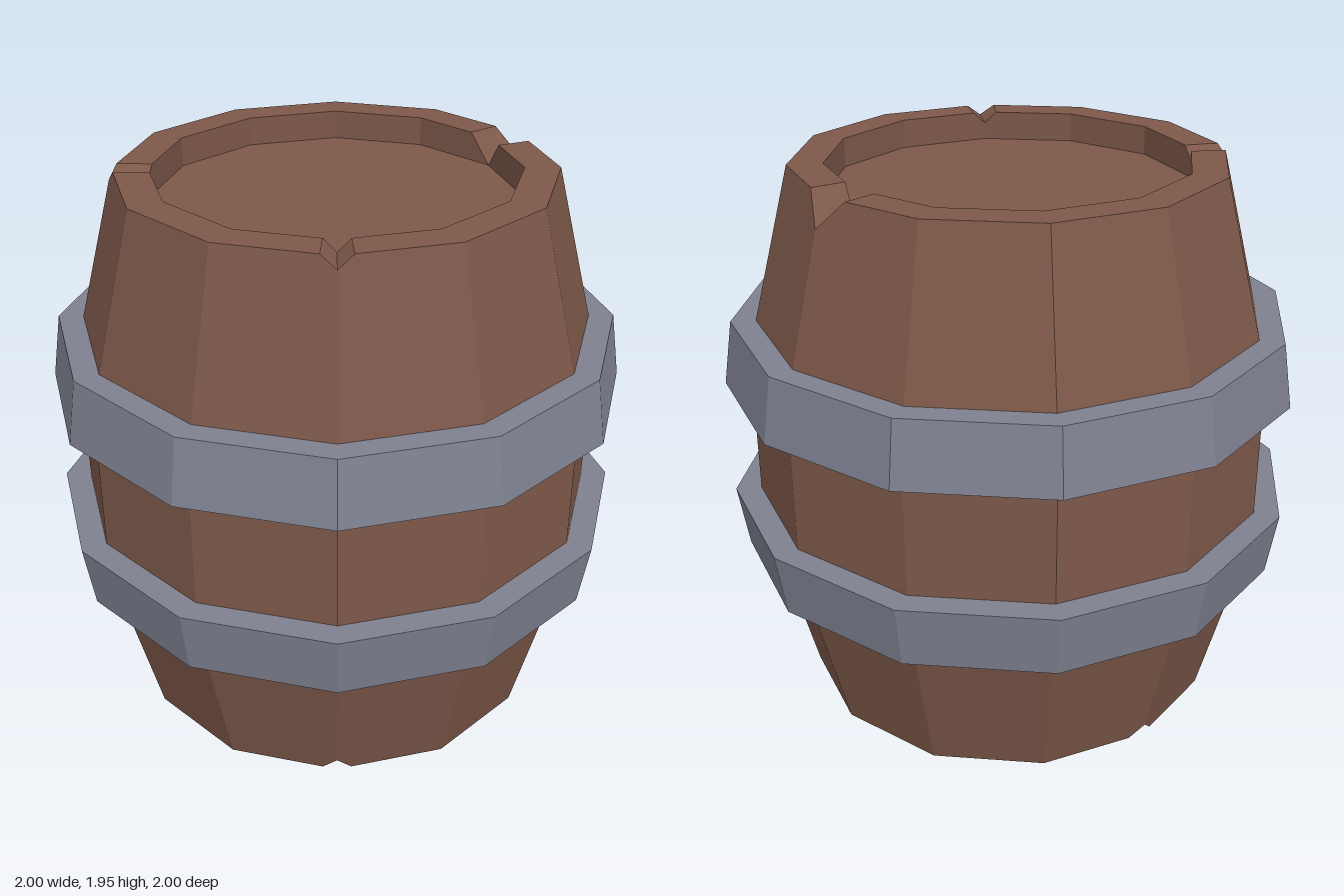
import * as THREE from 'three';

const SIDES = 12;
const HEIGHT = 1.945;
const RECESS = 0.1;

// Chips in the rims, keyed by the index of the stave corner (30 degrees each)
const topChips = { 0: 0.1, 4: 0.04, 7: 0.04 };
const bottomChips = { 4: 0.055, 9: 0.05 };
const chipWidth = { 0: 0.135, 4: 0.07, 7: 0.065, 9: 0.07 };

// Unit outline of the barrel: twelve corners, plus a point on each side of every chip
function outline() {
  const corner = (i) => {
    const a = (i / SIDES) * Math.PI * 2;
    return new THREE.Vector2(Math.cos(a), Math.sin(a));
  };
  const side = Math.hypot(corner(1).x - 1, corner(1).y);
  const points = [];
  for (let i = 0; i < SIDES; i++) {
    const p = corner(i);
    const t = (chipWidth[i] ?? 0) / side;
    if (t) points.push({ p: p.clone().lerp(corner(i - 1), t), top: 0, bottom: 0 });
    points.push({ p, top: topChips[i] ?? 0, bottom: bottomChips[i] ?? 0 });
    if (t) points.push({ p: p.clone().lerp(corner(i + 1), t), top: 0, bottom: 0 });
  }
  return points;
}

// Skin the outline along a profile of [radius, y, chipped rim, outward slope of the chip]
function woodGeometry() {
  const profile = [
    [0, RECESS], [0.62, RECESS], [0.62, 0, 'bottom', 0], [0.745, 0, 'bottom', 0.25],
    [0.91, 0.65], [0.91, 1.29],
    [0.74, HEIGHT, 'top', 0.25], [0.62, HEIGHT, 'top', 0], [0.62, HEIGHT - RECESS], [0, HEIGHT - RECESS],
  ];
  const points = outline();
  const loops = profile.map(([r, y, rim, slope]) => points.map((o) => {
    const cut = rim ? o[rim] : 0;
    const radius = r + cut * (slope ?? 0);
    return new THREE.Vector3(o.p.x * radius, rim === 'top' ? y - cut : y + cut, o.p.y * radius);
  }));
  const positions = [];
  const addTriangle = (a, b, c) => {
    if (new THREE.Triangle(a, b, c).getArea() < 1e-7) return;
    for (const v of [a, b, c]) positions.push(v.x, v.y, v.z);
  };
  for (let j = 0; j < loops.length - 1; j++) {
    for (let i = 0; i < points.length; i++) {
      const k = (i + 1) % points.length;
      addTriangle(loops[j][i], loops[j + 1][i], loops[j + 1][k]);
      addTriangle(loops[j][i], loops[j + 1][k], loops[j][k]);
    }
  }
  const geometry = new THREE.BufferGeometry();
  geometry.setAttribute('position', new THREE.Float32BufferAttribute(positions, 3));
  geometry.computeVertexNormals();
  return geometry;
}

// Tapered metal band, its inner edge sunk into the wood
function hoopGeometry(bottomRadius, topRadius, y0, y1) {
  const profile = [[0.85, y0], [bottomRadius, y0], [topRadius, y1], [0.85, y1]];
  return new THREE.LatheGeometry(profile.map(([r, y]) => new THREE.Vector2(r, y)), SIDES);
}

export function createModel() {
  const wood = new THREE.MeshStandardMaterial({ color: 0x7d5849, flatShading: true });
  const metal = new THREE.MeshStandardMaterial({ color: 0x7e8190, flatShading: true });
  const group = new THREE.Group();
  group.name = 'barrel';

  const add = (name, geometry, material) => {
    const mesh = new THREE.Mesh(geometry, material);
    mesh.name = name;
    group.add(mesh);
  };
  add('woodenBody', woodGeometry(), wood);
  add('lowerHoop', hoopGeometry(0.965, 1, 0.54, 0.765), metal);
  add('upperHoop', hoopGeometry(1, 0.965, 1.185, 1.41), metal);
  return group;
}
